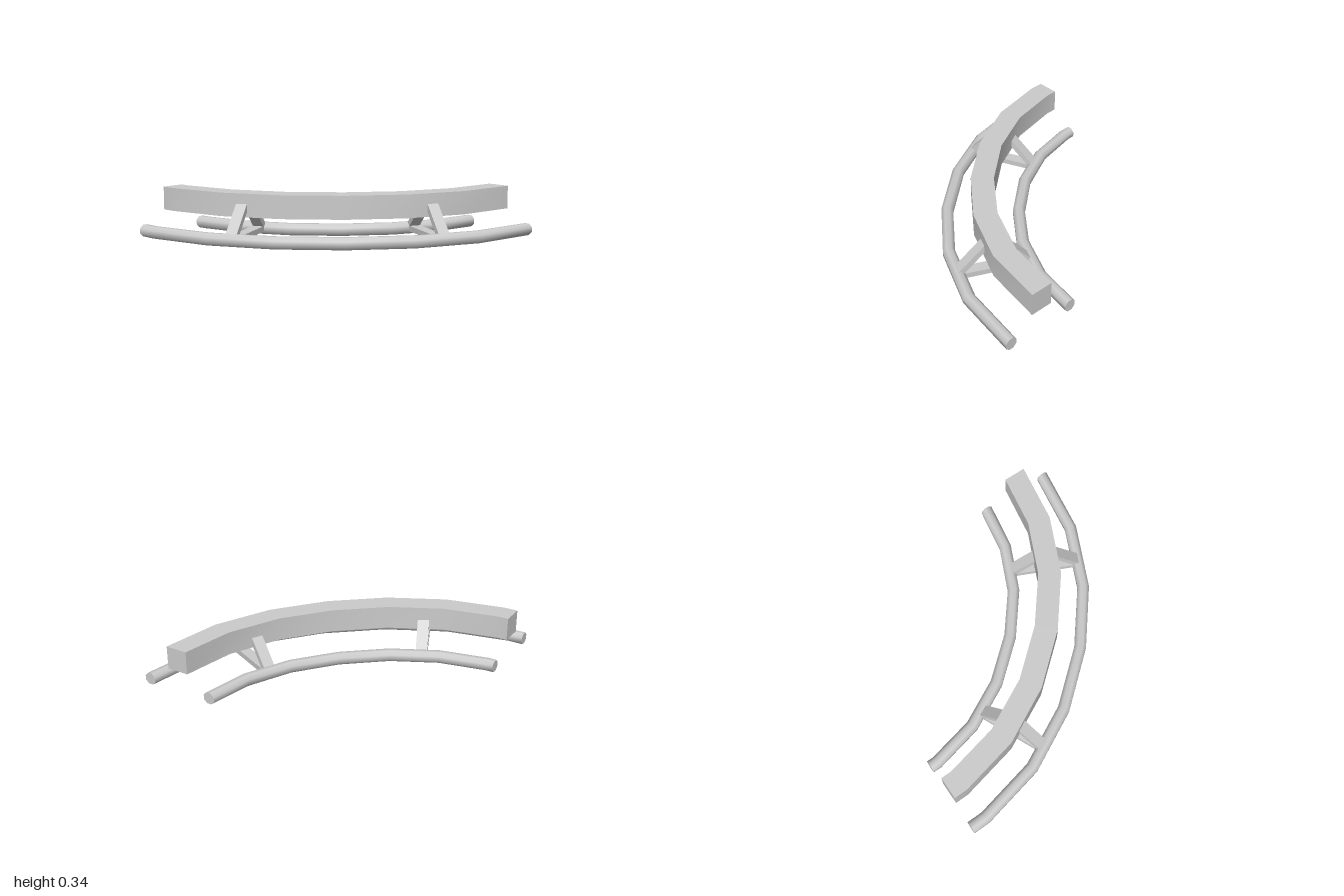
import * as THREE from 'three';
import { toCreasedNormals } from 'three/addons/utils/BufferGeometryUtils.js';

const material = new THREE.MeshStandardMaterial({ color: 0xcccccc });

// Centre line of the curve on the ground, as [x, z]
const PATH = [
  [-1, 0.7], [-0.91, 0.698], [-0.505, 0.605], [-0.13, 0.41],
  [0.197, 0.132], [0.457, -0.197], [0.633, -0.585], [0.7, -1],
].map(([x, z]) => new THREE.Vector2(x, z));

// Outward normal of the path segment i
function segmentNormal(i) {
  const d = PATH[i + 1].clone().sub(PATH[i]).normalize();
  return new THREE.Vector2(-d.y, d.x);
}

// Outward mitre vector at each path point; both ends are cut square to the axes
const MITRES = PATH.map((p, i) => {
  if (i === 0) return new THREE.Vector2(0, 1);
  if (i === PATH.length - 1) return new THREE.Vector2(1, 0);
  const a = segmentNormal(i - 1);
  const m = a.clone().add(segmentNormal(i)).normalize();
  return m.divideScalar(m.dot(a));
});

// Sweep a closed counter-clockwise profile of [outward offset, height] along the path
function sweep(name, profile) {
  const n = profile.length;
  const last = (PATH.length - 1) * n;
  const positions = [];
  const index = [];
  PATH.forEach((p, i) => {
    for (const [u, y] of profile) {
      positions.push(p.x + MITRES[i].x * u, y, p.y + MITRES[i].y * u);
    }
  });
  for (let i = 0; i < PATH.length - 1; i++) {
    for (let k = 0; k < n; k++) {
      const a = i * n + k;
      const b = i * n + ((k + 1) % n);
      index.push(a, a + n, b + n, a, b + n, b);
    }
  }
  // End caps
  for (let k = 1; k < n - 1; k++) {
    index.push(0, k, k + 1, last, last + k + 1, last + k);
  }
  const geometry = new THREE.BufferGeometry();
  geometry.setAttribute('position', new THREE.Float32BufferAttribute(positions, 3));
  geometry.setIndex(index);
  const mesh = new THREE.Mesh(toCreasedNormals(geometry, 0.9), material);
  mesh.name = name;
  return mesh;
}

// Eight-sided tube profile with flat top and bottom, resting on the ground
function tubeProfile(offset) {
  const r = 0.0425;
  const corner = r / Math.cos(Math.PI / 8);
  return Array.from({ length: 8 }, (_, k) => {
    const t = ((k + 0.5) * Math.PI) / 4;
    return [offset + corner * Math.cos(t), r + corner * Math.sin(t)];
  });
}

// Flat bar between two points in the local x-y plane
function bar(name, x0, y0, x1, y1) {
  const length = Math.hypot(x1 - x0, y1 - y0);
  const mesh = new THREE.Mesh(new THREE.BoxGeometry(length, 0.04, 0.083), material);
  mesh.position.set((x0 + x1) / 2, (y0 + y1) / 2, 0);
  mesh.rotation.z = Math.atan2(y1 - y0, x1 - x0);
  mesh.name = name;
  return mesh;
}

// Triangular support: two sloping struts and a tie between the rails
function supportFrame(name, x, z, dirX, dirZ) {
  const frame = new THREE.Group();
  frame.name = name;
  frame.add(
    bar('outerStrut', 0.005, 0.308, 0.255, 0.052),
    bar('innerStrut', -0.005, 0.308, -0.255, 0.052),
    bar('crossTie', -0.25, 0.042, 0.25, 0.042),
  );
  frame.position.set(x, 0, z);
  frame.rotation.y = -Math.atan2(dirZ, dirX);
  return frame;
}

export function createModel() {
  const model = new THREE.Group();
  model.name = 'curvedTrack';

  // Square beam carried above the rails
  model.add(sweep('beam', [[-0.082, 0.175], [0.082, 0.175], [0.082, 0.343], [-0.082, 0.343]]));

  // Round rails on either side
  model.add(sweep('outerRail', tubeProfile(0.258)));
  model.add(sweep('innerRail', tubeProfile(-0.258)));

  // Supports, mirrored across the diagonal
  model.add(supportFrame('firstSupport', -0.367, 0.545, 0.42, 0.907));
  model.add(supportFrame('secondSupport', 0.545, -0.37, 0.907, 0.42));
  return model;
}
